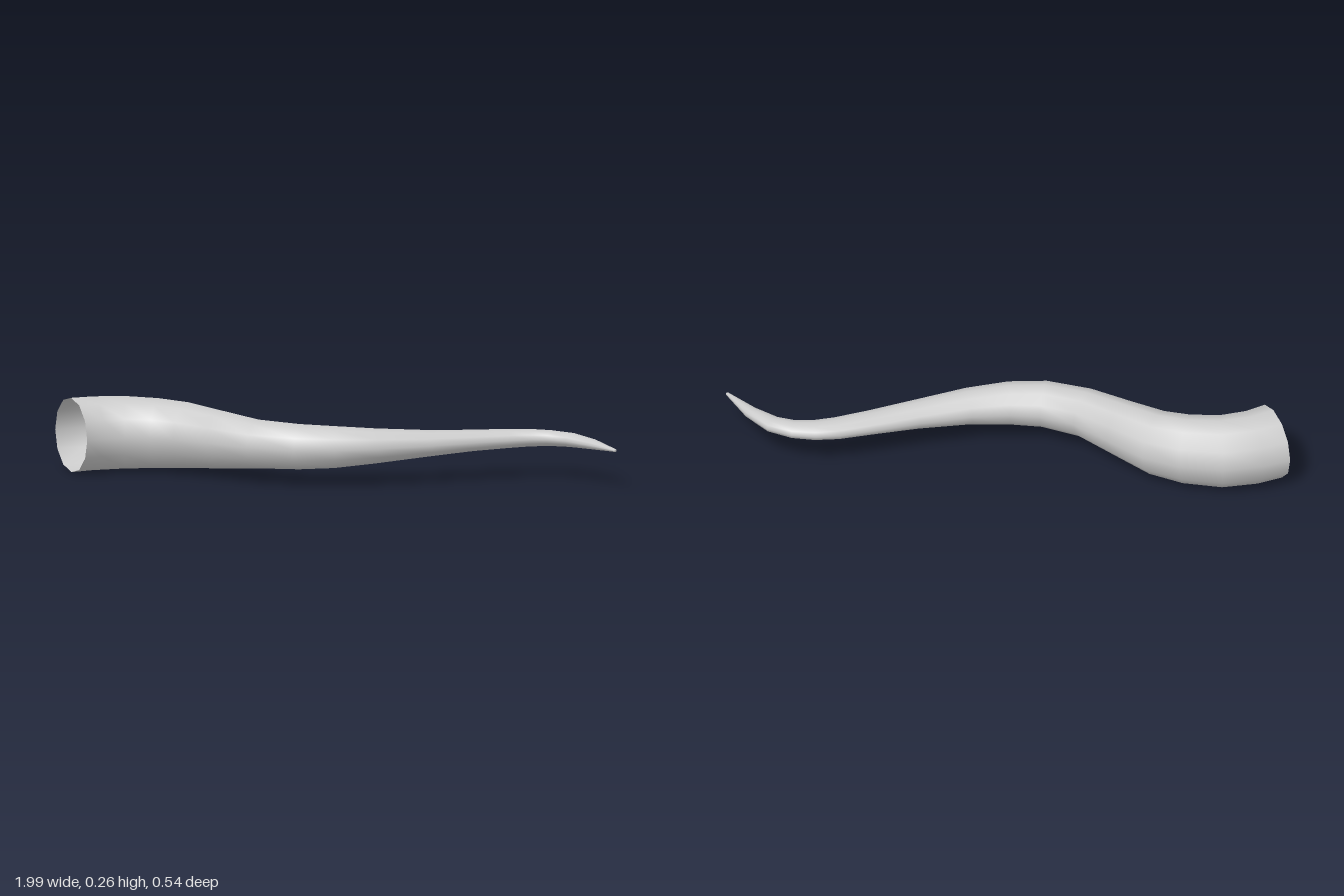
import * as THREE from 'three';

const SIDES = 12;

// Stations along the horn: x, y, z, half width, half height
const STATIONS = [
  [-0.907, 0.131, 0.172, 0.131, 0.131],
  [-0.845, 0.131, 0.115, 0.125, 0.130],
  [-0.75, 0.131, 0.063, 0.121, 0.128],
  [-0.63, 0.131, 0.043, 0.114, 0.123],
  [-0.52, 0.131, 0.052, 0.107, 0.116],
  [-0.38, 0.131, 0.103, 0.094, 0.102],
  [-0.23, 0.132, 0.157, 0.086, 0.086],
  [-0.08, 0.132, 0.168, 0.083, 0.080],
  [0.04, 0.132, 0.139, 0.078, 0.074],
  [0.17, 0.133, 0.080, 0.070, 0.062],
  [0.33, 0.134, -0.020, 0.060, 0.047],
  [0.46, 0.136, -0.110, 0.054, 0.038],
  [0.57, 0.137, -0.182, 0.049, 0.034],
  [0.64, 0.138, -0.215, 0.045, 0.031],
  [0.71, 0.138, -0.230, 0.040, 0.028],
  [0.79, 0.137, -0.220, 0.036, 0.025],
  [0.885, 0.135, -0.168, 0.025, 0.018],
  [0.995, 0.133, -0.080, 0.006, 0.005],
];

// Lofts elliptical rings along the path; the wide end stays open
function hornGeometry() {
  const path = new THREE.CatmullRomCurve3(STATIONS.map(([x, y, z]) => new THREE.Vector3(x, y, z)));
  const up = new THREE.Vector3(0, 1, 0);
  const last = STATIONS.length - 1;
  const positions = [];
  const indices = [];

  STATIONS.forEach(([x, y, z, halfWidth, halfHeight], i) => {
    const tangent = path.getTangent(i / last).setY(0).normalize();
    const side = tangent.cross(up);
    for (let j = 0; j < SIDES; j++) {
      const a = (j / SIDES) * Math.PI * 2;
      const w = Math.cos(a) * halfWidth;
      positions.push(x + side.x * w, y + Math.sin(a) * halfHeight, z + side.z * w);
    }
  });

  for (let i = 0; i < last; i++) {
    for (let j = 0; j < SIDES; j++) {
      const a = i * SIDES + j;
      const c = i * SIDES + ((j + 1) % SIDES);
      indices.push(a, a + SIDES, c, c, a + SIDES, c + SIDES);
    }
  }

  // Close the small tip with a fan
  const tip = last * SIDES;
  for (let j = 1; j < SIDES - 1; j++) indices.push(tip, tip + j + 1, tip + j);

  const geometry = new THREE.BufferGeometry();
  geometry.setAttribute('position', new THREE.Float32BufferAttribute(positions, 3));
  geometry.setIndex(indices);
  geometry.computeVertexNormals();
  return geometry;
}

export function createModel() {
  const group = new THREE.Group();
  group.name = 'curvedHorn';
  const material = new THREE.MeshStandardMaterial({ color: 0xcccccc, side: THREE.DoubleSide });
  const horn = new THREE.Mesh(hornGeometry(), material);
  horn.name = 'horn';
  group.add(horn);
  return group;
}
